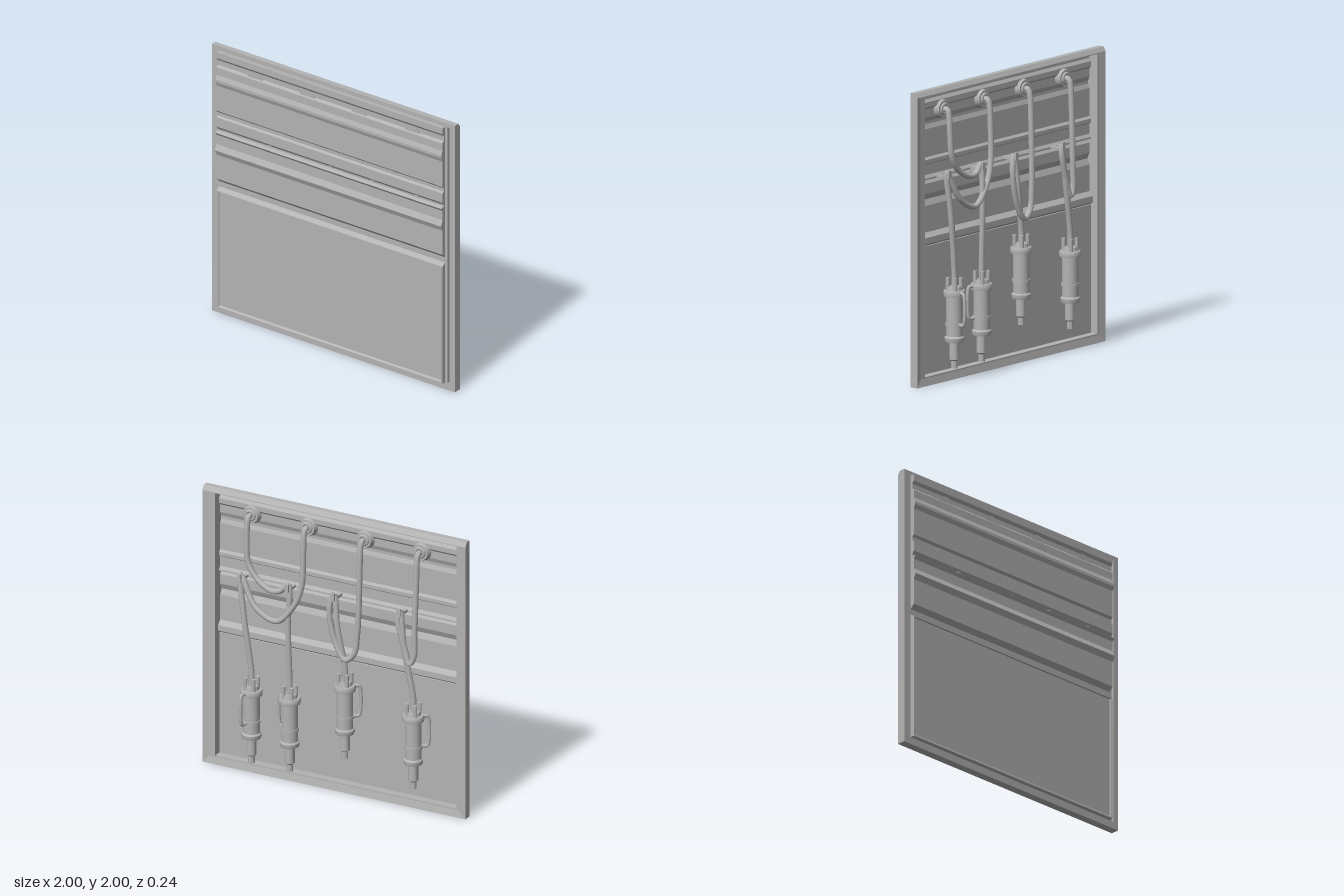
import * as THREE from 'three';
import { toCreasedNormals } from 'three/addons/utils/BufferGeometryUtils.js';

const grey = new THREE.MeshStandardMaterial({ color: 0xb3b3b3, side: THREE.DoubleSide });
grey.name = 'plain grey';

function add(parent, name, geometry, x = 0, y = 0, z = 0) {
  const mesh = new THREE.Mesh(geometry, grey);
  mesh.name = name;
  mesh.position.set(x, y, z);
  parent.add(mesh);
  return mesh;
}

function block(parent, name, x0, x1, y0, y1, z0, z1) {
  return add(parent, name, new THREE.BoxGeometry(x1 - x0, y1 - y0, z1 - z0),
    (x0 + x1) / 2, (y0 + y1) / 2, (z0 + z1) / 2);
}

// Joins rectangular loops [x0, x1, y0, y1, z] into a mitred frame
function rectLoft(loops) {
  const pos = [];
  const corners = loops.map(([a, b, c, d, z]) => [[a, c, z], [b, c, z], [b, d, z], [a, d, z]]);
  for (let i = 0; i < loops.length - 1; i++) {
    for (let k = 0; k < 4; k++) {
      const p = corners[i], q = corners[i + 1], n = (k + 1) % 4;
      pos.push(...p[k], ...p[n], ...q[n], ...p[k], ...q[n], ...q[k]);
    }
  }
  const g = new THREE.BufferGeometry();
  g.setAttribute('position', new THREE.Float32BufferAttribute(pos, 3));
  g.computeVertexNormals();
  return g;
}

// Extrudes a closed outline of [z, y] points along x
function extrudeAlongX(points, x0, x1) {
  const shape = new THREE.Shape(points.map(([z, y]) => new THREE.Vector2(-z, y)));
  const g = new THREE.ExtrudeGeometry(shape, { depth: x1 - x0, bevelEnabled: false });
  g.rotateY(Math.PI / 2);
  g.translate(x0, 0, 0);
  return g;
}

function hose(parent, points, radius = 0.02, name = 'hose') {
  const curve = new THREE.CatmullRomCurve3(points.map(p => new THREE.Vector3(...p)), false, 'centripetal');
  return add(parent, name, new THREE.TubeGeometry(curve, points.length * 8, radius, 10, false));
}

// Front sheet cross-section, [z, y] from bottom to top
const profile = [
  [0.088, 0.05], [0.088, 0.93], [0.10, 0.93], [0.07, 0.95], [0.07, 0.99], [0.10, 1.02],
  [0.10, 1.20], [0.118, 1.24], [0.10, 1.28], [0.10, 1.35], [0.115, 1.37], [0.085, 1.378],
  [0.085, 1.39], [0.10, 1.41], [0.10, 1.48], [0.085, 1.49], [0.085, 1.515], [0.10, 1.53],
  [0.10, 1.72], [0.112, 1.75], [0.112, 1.77], [0.10, 1.80], [0.10, 1.855], [0.085, 1.87],
  [0.085, 1.905], [0.10, 1.925], [0.10, 1.97],
];

function makePanel() {
  const panel = new THREE.Group();
  panel.name = 'wallPanel';
  const L = -0.94, R = 0.92;

  // Outer frame, with sloping back lip
  add(panel, 'outerFrame', rectLoft([
    [-1, 1, 0, 2, 0.03], [-1, 1, 0, 2, 0.07], [L, 0.955, 0.05, 1.97, 0.07],
    [L, 0.955, 0.05, 1.97, 0.02], [-1, 1, 0, 1.97, 0.01], [-1, 1, 0, 2, 0.03],
  ]));

  // Corrugated sheet and its closed ends
  const back = profile.map(([z, y]) => [z - 0.01, y]).reverse();
  add(panel, 'corrugatedSheet', extrudeAlongX([...profile, ...back], L, R));
  const end = [...profile, [0.02, 1.97], [0.02, 0.05]];
  add(panel, 'sheetEndLeft', extrudeAlongX(end, R - 0.012, R));
  add(panel, 'sheetEndRight', extrudeAlongX(end, L, L + 0.012));
  block(panel, 'sheetTop', L, R, 1.96, 1.97, 0.02, 0.10);
  block(panel, 'sheetBottom', L, R, 0.05, 0.06, 0.02, 0.088);

  // Raised rim round the lower panel
  add(panel, 'lowerRim', rectLoft([
    [L, R, 0.05, 0.93, 0.088], [L, R, 0.05, 0.93, 0.10],
    [L + 0.01, R - 0.01, 0.06, 0.928, 0.10], [L + 0.02, R - 0.02, 0.07, 0.925, 0.0885],
  ]));

  // Side post with its narrow groove
  block(panel, 'sidePost', R, 0.94, 0.05, 1.97, 0.02, 0.07);
  block(panel, 'grooveFloor', 0.94, 0.956, 0.05, 1.97, 0.02, 0.04);
  return panel;
}

// Tool: turned body, top pegs and a side handle; y = 0 at its lower tip
function makeTool(angle) {
  const tool = new THREE.Group();
  tool.name = 'tool';
  const outline = [
    [0, 0], [0.022, 0], [0.022, 0.05], [0.034, 0.06], [0.034, 0.18], [0.062, 0.18],
    [0.066, 0.19], [0.066, 0.21], [0.055, 0.22], [0.055, 0.29], [0.061, 0.29], [0.061, 0.31],
    [0.055, 0.31], [0.055, 0.49], [0.072, 0.49], [0.074, 0.50], [0.074, 0.52], [0.07, 0.53],
    [0.05, 0.53], [0.045, 0.555], [0, 0.555],
  ].map(p => new THREE.Vector2(...p));
  add(tool, 'toolBody', toCreasedNormals(new THREE.LatheGeometry(outline, 24), 0.6));

  // Pegs round the top
  for (let i = 0; i < 4; i++) {
    const a = i * Math.PI / 2 + Math.PI / 4;
    add(tool, 'topPeg', new THREE.CylinderGeometry(0.014, 0.014, 0.10, 10),
      0.044 * Math.cos(a), 0.565, 0.044 * Math.sin(a));
  }

  // Handle
  const handle = new THREE.Group();
  handle.name = 'toolHandle';
  hose(handle, [[0.05, 0.51, 0], [0.095, 0.515, 0], [0.106, 0.49, 0], [0.106, 0.33, 0],
    [0.095, 0.30, 0], [0.05, 0.30, 0]], 0.012, 'handleBar');
  handle.rotation.y = angle;
  tool.add(handle);
  return tool;
}

// Tool position, handle angle, hook, socket and hose route [x, y, z]
const stations = [
  { x: 0.62, y: 0.08, angle: 1.35, socket: 0.23, hook: [0.70, 1.41],
    path: [[0.24, 1.42, -0.005], [0.30, 1.27, -0.015], [0.42, 1.15, -0.02], [0.58, 1.22, -0.02]] },
  { x: 0.33, y: 0.08, angle: -0.35, socket: 0.66, hook: [0.34, 1.41],
    path: [[0.645, 1.52, 0.0], [0.58, 1.42, 0.0], [0.47, 1.36, -0.01], [0.40, 1.37, -0.01]] },
  { x: -0.09, y: 0.26, angle: -2.4, socket: -0.20, hook: [-0.01, 1.42],
    path: [[-0.19, 1.19, -0.01], [-0.165, 1.03, -0.015], [-0.10, 0.98, -0.02], [-0.03, 1.08, -0.015],
      [0.02, 1.32, -0.015]] },
  { x: -0.61, y: 0.15, angle: -2.4, socket: -0.63, hook: [-0.51, 1.41],
    path: [[-0.625, 1.30, -0.01], [-0.62, 1.10, -0.015], [-0.59, 1.05, -0.02], [-0.56, 1.13, -0.015],
      [-0.50, 1.36, -0.015]] },
];

export function createModel() {
  const model = new THREE.Group();
  model.name = 'hosePanel';
  model.add(makePanel());

  for (const s of stations) {
    const tool = makeTool(s.angle);
    tool.position.set(s.x, s.y, 0);
    model.add(tool);

    // Round wall socket
    const disc = add(model, 'socketDisc', new THREE.CylinderGeometry(0.056, 0.068, 0.037, 24), s.socket, 1.84, 0.0735);
    disc.rotation.x = -Math.PI / 2;
    add(model, 'socketCollar', new THREE.TorusGeometry(0.03, 0.012, 8, 20), s.socket, 1.84, 0.055);

    // Hook with upturned lip
    const [hx, hy] = s.hook;
    block(model, 'hookArm', hx - 0.014, hx + 0.014, hy - 0.03, hy - 0.012, -0.022, 0.09);
    block(model, 'hookLip', hx - 0.014, hx + 0.014, hy - 0.03, hy + 0.025, -0.03, -0.02);

    // Hose from socket, over the hook and down to the tool
    const top = s.y + 0.55;
    hose(model, [
      [s.socket, 1.84, 0.07], [s.socket, 1.835, 0.025], [s.socket, 1.79, 0.012], [s.socket, 1.68, 0.005],
      ...s.path, [hx, hy + 0.01, 0.0],
      [hx + (s.x - hx) * 0.35, hy - (hy - top) * 0.35, -0.012],
      [s.x, top + 0.1, 0], [s.x, top, 0],
    ]);
  }
  return model;
}
